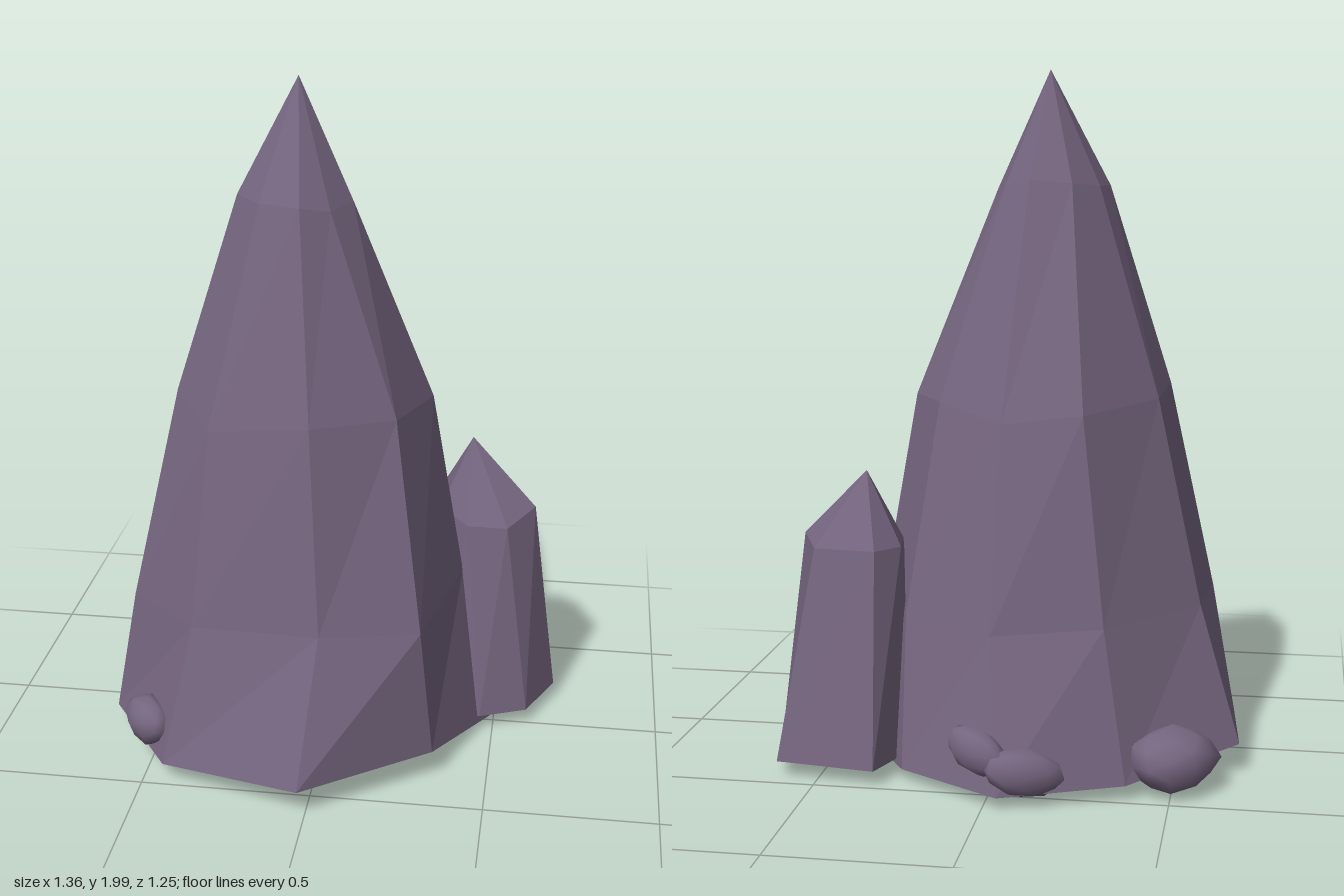
import * as THREE from 'three';
import { mergeVertices } from 'three/addons/utils/BufferGeometryUtils.js';

// Faceted crystal from cross-section rings (bottom to top), closed by a tip and a base fan
function crystalGeometry(rings, tip, baseY) {
  const n = rings[0].length;
  const pos = [];
  const tri = (...pts) => pts.forEach((p) => pos.push(...p));
  const centre = [0, 1, 2].map((k) => rings[0].reduce((s, p) => s + p[k], 0) / n);
  centre[1] = baseY;
  for (let i = 0; i < n; i++) {
    const j = (i + 1) % n;
    tri(centre, rings[0][j], rings[0][i]);
    for (let r = 0; r + 1 < rings.length; r++) {
      const lo = rings[r], hi = rings[r + 1];
      tri(lo[i], lo[j], hi[j]);
      tri(lo[i], hi[j], hi[i]);
    }
    const top = rings[rings.length - 1];
    tri(top[i], top[j], tip);
  }
  const g = new THREE.BufferGeometry();
  g.setAttribute('position', new THREE.Float32BufferAttribute(pos, 3));
  g.computeVertexNormals();
  return g;
}

// Smooth rounded pebble
function pebbleGeometry() {
  let g = new THREE.IcosahedronGeometry(1, 1);
  g.deleteAttribute('uv');
  g.deleteAttribute('normal');
  g = mergeVertices(g, 1e-4);
  const p = g.attributes.position;
  for (let i = 0; i < p.count; i++) {
    const k = 1 + 0.07 * Math.sin(i * 2.4);
    p.setXYZ(i, p.getX(i) * k, p.getY(i) * k, p.getZ(i) * k);
  }
  g.computeVertexNormals();
  return g;
}

export function createModel() {
  const group = new THREE.Group();
  const rock = new THREE.MeshStandardMaterial({ color: 0x75657f });
  rock.name = 'purple rock';

  const add = (name, geometry) => {
    const mesh = new THREE.Mesh(geometry, rock);
    mesh.name = name;
    group.add(mesh);
    return mesh;
  };

  // Tall nine-sided spire
  const spireRings = [
    [[-0.68, 0.09, -0.21], [-0.65, 0.07, 0.18], [-0.44, 0.06, 0.48], [-0.02, 0.09, 0.62], [0.34, 0.09, 0.35],
      [0.49, 0.01, -0.02], [0.26, 0.04, -0.43], [-0.04, 0.04, -0.61], [-0.38, 0.05, -0.49]],
    [[-0.56, 0.48, -0.15], [-0.58, 0.46, 0.18], [-0.36, 0.47, 0.39], [0.02, 0.5, 0.46], [0.3, 0.48, 0.36],
      [0.39, 0.5, -0.04], [0.27, 0.46, -0.31], [0, 0.45, -0.47], [-0.31, 0.47, -0.42]],
    [[-0.43, 1.07, -0.11], [-0.45, 1.09, 0.09], [-0.32, 1.04, 0.29], [-0.02, 1.09, 0.36], [0.21, 1.08, 0.23],
      [0.29, 1.06, -0.04], [0.19, 1.06, -0.2], [-0.01, 1.02, -0.34], [-0.24, 1.05, -0.34]],
    [[-0.25, 1.67, -0.05], [-0.27, 1.67, 0.05], [-0.19, 1.67, 0.15], [-0.07, 1.67, 0.19], [0.01, 1.65, 0.14],
      [0.06, 1.66, 0.04], [0.02, 1.67, -0.08], [-0.06, 1.69, -0.14], [-0.18, 1.68, -0.13]],
  ];
  add('mainSpire', crystalGeometry(spireRings, [-0.1, 2, 0], 0.03));

  // Short seven-sided crystal at the side
  const sideRings = [
    [[0.68, 0.05, -0.18], [0.62, 0.05, -0.45], [0.33, 0.05, -0.49], [0.25, 0.05, -0.27],
      [0.3, 0.05, -0.02], [0.46, 0.05, 0.06], [0.6, 0.05, 0]],
    [[0.6, 0.66, -0.18], [0.53, 0.65, -0.34], [0.35, 0.65, -0.36], [0.29, 0.65, -0.28],
      [0.31, 0.65, -0.16], [0.4, 0.64, -0.05], [0.52, 0.63, -0.07]],
  ];
  add('sideCrystal', crystalGeometry(sideRings, [0.4, 0.86, -0.23], 0.05));

  // Pebbles at the foot: name, centre, half sizes, turn, tilt
  const pebble = pebbleGeometry();
  [
    ['frontPebble', [-0.505, 0.14, 0.365], [0.1, 0.072, 0.06], -0.85, 0],
    ['cornerPebble', [-0.5, 0.1, -0.385], [0.14, 0.09, 0.11], 0.7, 0],
    ['backPebbleHigh', [0.02, 0.15, -0.555], [0.1, 0.06, 0.045], -0.4, 0.35],
    ['backPebbleLow', [-0.11, 0.1, -0.565], [0.12, 0.065, 0.05], 0.3, 0.15],
  ].forEach(([name, centre, size, turn, tilt]) => {
    const mesh = add(name, pebble);
    mesh.position.set(...centre);
    mesh.scale.set(...size);
    mesh.rotation.set(0, turn, tilt);
  });

  return group;
}
